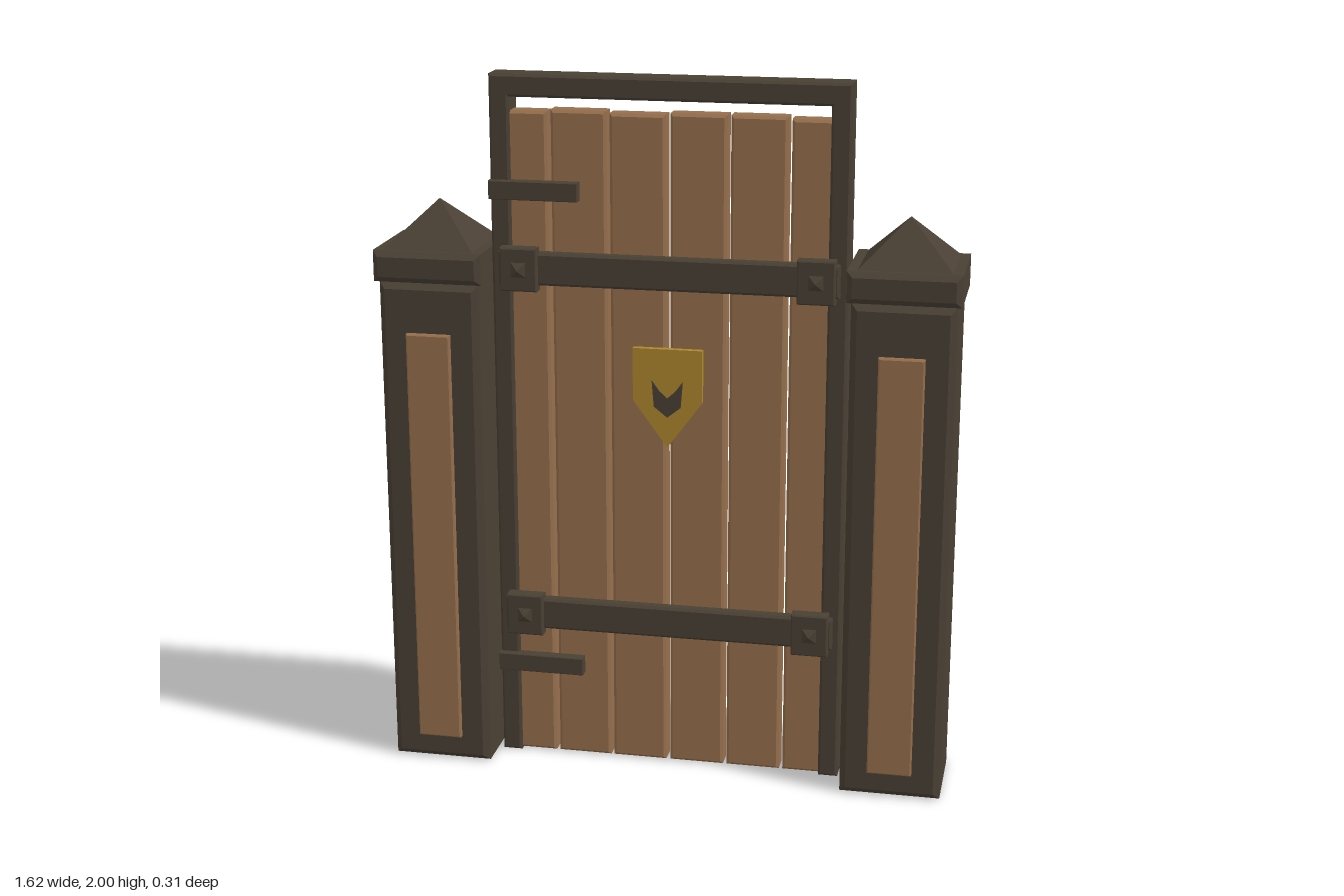
import * as THREE from 'three';

const material = (name, color) => Object.assign(new THREE.MeshStandardMaterial({ color }), { name });

// Box with flat chamfers on every edge, centred on the origin
function chamferBox(w, h, d, c) {
  const x = w / 2 - c, y = h / 2 - c;
  const shape = new THREE.Shape([
    new THREE.Vector2(-x, -y), new THREE.Vector2(x, -y),
    new THREE.Vector2(x, y), new THREE.Vector2(-x, y),
  ]);
  const g = new THREE.ExtrudeGeometry(shape, {
    depth: d - 2 * c, bevelThickness: c, bevelSize: c, bevelSegments: 1,
  });
  return g.translate(0, 0, -(d / 2 - c));
}

// Four-sided pyramid with its base on y = 0
function pyramid(half, height) {
  const g = new THREE.ConeGeometry(half * Math.SQRT2, height, 4).toNonIndexed();
  g.rotateY(Math.PI / 4).translate(0, height / 2, 0);
  g.computeVertexNormals();
  return g;
}

// Flat plate from outline points, back face at z = 0
function plate(points, depth, bevel = 0) {
  const shape = new THREE.Shape(points.map(([x, y]) => new THREE.Vector2(x, y)));
  return new THREE.ExtrudeGeometry(shape, { depth, bevelEnabled: false });
}

export function createModel() {
  const wood = material('wood', 0x966f4d);
  const iron = material('darkIron', 0x4a4034);
  const gold = material('gold', 0xae872e);
  const model = new THREE.Group();
  model.name = 'gate';

  const add = (parent, name, geometry, mat, x = 0, y = 0, z = 0) => {
    const mesh = new THREE.Mesh(geometry, mat);
    mesh.name = name;
    mesh.position.set(x, y, z);
    parent.add(mesh);
    return mesh;
  };

  // Posts with inset wooden panel, cap and pyramid top
  for (const [side, s] of [['left', 1], ['right', -1]]) {
    const post = new THREE.Group();
    post.name = side + 'Post';
    post.position.x = s * 0.656;
    add(post, 'postShaft', chamferBox(0.284, 1.425, 0.284, 0.018), iron, 0, 0.7175, 0);
    add(post, 'postNeck', new THREE.BoxGeometry(0.24, 0.03, 0.24), iron, 0, 1.43, 0);
    add(post, 'postCap', chamferBox(0.308, 0.088, 0.308, 0.016), iron, 0, 1.476, 0);
    add(post, 'postPyramid', pyramid(0.132, 0.13), iron, 0, 1.515, 0);
    add(post, 'postPanel', chamferBox(0.125, 1.21, 0.03, 0.004), wood, 0, 0.685, 0.144);
    model.add(post);
  }

  // Door frame
  const frame = new THREE.Group();
  frame.name = 'doorFrame';
  for (const s of [-1, 1])
    add(frame, 'frameStile', chamferBox(0.056, 1.975, 0.088, 0.007), iron, s * 0.469, 0.9925, 0);
  add(frame, 'frameTop', chamferBox(0.994, 0.062, 0.088, 0.007), iron, 0, 1.969, 0);
  model.add(frame);

  // Door planks with slightly uneven tops
  const door = new THREE.Group();
  door.name = 'door';
  const planks = [
    [-0.46, -0.338, 1.9], [-0.328, -0.173, 1.905], [-0.164, -0.008, 1.9],
    [0.004, 0.16, 1.905], [0.17, 0.325, 1.905], [0.335, 0.46, 1.9],
  ];
  for (const [x0, x1, top] of planks)
    add(door, 'plank', chamferBox(x1 - x0, top - 0.008, 0.064, 0.008), wood,
      (x0 + x1) / 2, (top + 0.008) / 2, 0);
  model.add(door);

  // Cross bars with end plates and pointed studs
  for (const y of [0.45, 1.468]) {
    const bar = new THREE.Group();
    bar.name = 'crossBar';
    bar.position.y = y;
    add(bar, 'barStrip', chamferBox(0.95, 0.092, 0.038, 0.007), iron, 0, 0, 0.045);
    for (const s of [-1, 1]) {
      add(bar, 'barPlate', chamferBox(0.104, 0.122, 0.042, 0.004), iron, s * 0.413, 0, 0.062);
      add(bar, 'stud', pyramid(0.022, 0.016), iron, s * 0.413, 0, 0.082).rotation.x = Math.PI / 2;
    }
    model.add(bar);
  }

  // Hinge straps on one side
  for (const y of [0.292, 1.685])
    add(model, 'hingeStrap', chamferBox(0.25, 0.052, 0.034, 0.002), iron, -0.373, y, 0.047);

  // Shield plate with a small dark chevron
  const shield = new THREE.Group();
  shield.name = 'shield';
  shield.position.z = 0.03;
  add(shield, 'shieldPlate',
    plate([[-0.098, 1.255], [-0.098, 1.105], [0, 0.972], [0.098, 1.105], [0.098, 1.255]], 0.02), gold);
  add(shield, 'shieldMark',
    plate([[-0.044, 1.165], [-0.038, 1.09], [0, 1.06], [0.038, 1.09], [0.044, 1.165],
      [0.022, 1.135], [0, 1.115], [-0.022, 1.135]], 0.004), iron, 0, 0, 0.019);
  model.add(shield);

  return model;
}
